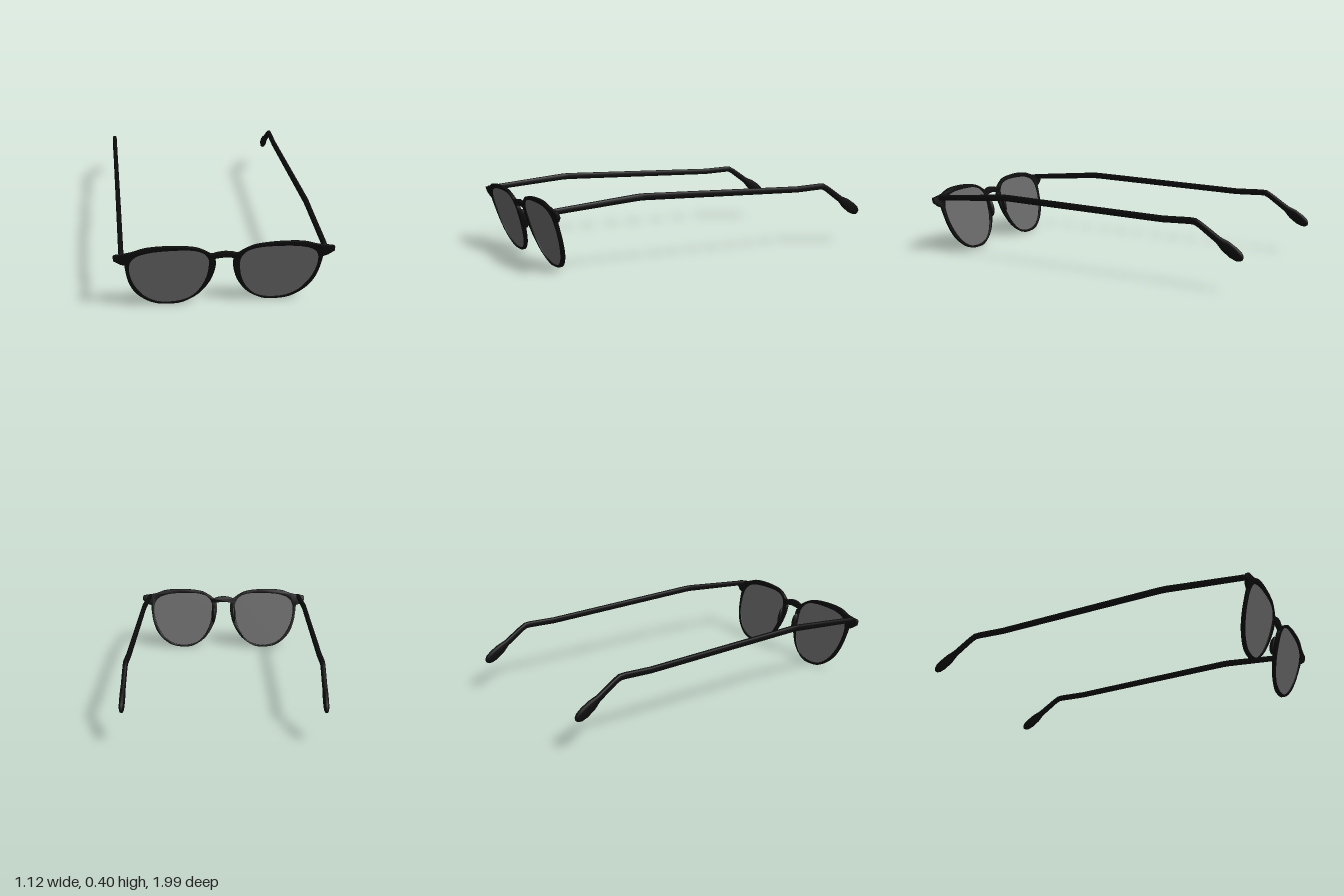
import * as THREE from 'three';
import { toCreasedNormals } from 'three/addons/utils/BufferGeometryUtils.js';

const black = new THREE.MeshStandardMaterial({ color: 0x0b0b0b });
const tint = new THREE.MeshStandardMaterial({ color: 0x666666 });

const vec = (list) => list.map(([x, y]) => new THREE.Vector2(x, y));
const mirror = (pts) => pts.map((p) => new THREE.Vector2(-p.x, p.y)).reverse();

// Half of the front outline, from bridge top round the lens to bridge underside
const topEdge = [[0, 0.337], [0.035, 0.333], [0.068, 0.325], [0.1, 0.346], [0.16, 0.373],
  [0.275, 0.385], [0.395, 0.38], [0.477, 0.355], [0.553, 0.344]];
const endPiece = [[0.561, 0.338], [0.561, 0.313], [0.528, 0.288]];
const lowEdge = [[0.505, 0.28], [0.501, 0.24], [0.487, 0.166], [0.456, 0.096], [0.404, 0.042],
  [0.345, 0.011], [0.275, 0.003], [0.207, 0.012], [0.125, 0.066], [0.07, 0.15], [0.047, 0.232],
  [0.046, 0.283], [0.054, 0.293], [0.035, 0.298], [0, 0.302]];

const lensOutline = [[0.483, 0.256], [0.474, 0.301], [0.447, 0.331], [0.387, 0.352], [0.275, 0.361],
  [0.161, 0.355], [0.11, 0.334], [0.083, 0.295], [0.08, 0.241], [0.092, 0.166], [0.122, 0.096],
  [0.17, 0.042], [0.221, 0.021], [0.275, 0.015], [0.342, 0.024], [0.402, 0.06], [0.447, 0.12], [0.474, 0.187]];

const spline = (list, n) => new THREE.SplineCurve(vec(list)).getPoints(n);

// Extrude a shape and lean it forward at the top
const TILT = 0.3;
const leanZ = (y) => 0.868 + TILT * y;
function leaningSlab(shape, depth, bevel) {
  const geo = new THREE.ExtrudeGeometry(shape, {
    depth: depth - 2 * bevel, bevelEnabled: bevel > 0, bevelThickness: bevel,
    bevelSize: bevel, bevelOffset: -bevel, bevelSegments: 2, curveSegments: 1,
  });
  geo.translate(0, 0, bevel - depth / 2);
  const p = geo.attributes.position;
  for (let i = 0; i < p.count; i++) p.setZ(i, p.getZ(i) + leanZ(p.getY(i)));
  geo.computeVertexNormals();
  return toCreasedNormals(geo, 0.6);
}

// Temple arm: oval sections along a side path of [z, y, half height, half width]
function templeGeometry() {
  const path = [[0.972, 0.337, 0.015, 0.012], [0.94, 0.34, 0.016, 0.013], [0.5, 0.378, 0.019, 0.013],
    [0.46, 0.379, 0.019, 0.013], [-0.538, 0.352, 0.018, 0.013], [-0.7, 0.358, 0.018, 0.013],
    [-0.728, 0.356, 0.018, 0.013], [-0.757, 0.341, 0.017, 0.013], [-0.86, 0.272, 0.019, 0.013],
    [-0.9, 0.244, 0.031, 0.014], [-0.945, 0.214, 0.033, 0.014], [-0.975, 0.196, 0.027, 0.013],
    [-0.99, 0.187, 0.016, 0.009], [-0.996, 0.183, 0.001, 0.001]];
  const sides = 16, pos = [], idx = [], last = path.length - 1;
  path.forEach(([z, y, h, w], i) => {
    const a = path[Math.max(i - 1, 0)], b = path[Math.min(i + 1, last)];
    const dir = new THREE.Vector2(b[0] - a[0], b[1] - a[1]).normalize();
    for (let j = 0; j < sides; j++) {
      const t = (j / sides) * Math.PI * 2;
      // slightly squared oval
      const c = Math.sign(Math.cos(t)) * Math.abs(Math.cos(t)) ** 0.75;
      const s = Math.sign(Math.sin(t)) * Math.abs(Math.sin(t)) ** 0.75;
      pos.push(c * w, y - dir.x * s * h, z + dir.y * s * h);
    }
  });
  for (let i = 0; i < last; i++) {
    for (let j = 0; j < sides; j++) {
      const a = i * sides + j, b = i * sides + ((j + 1) % sides);
      idx.push(a, a + sides, b, b, a + sides, b + sides);
    }
  }
  for (let j = 1; j < sides - 1; j++) idx.push(0, j, j + 1);
  const geo = new THREE.BufferGeometry();
  geo.setAttribute('position', new THREE.Float32BufferAttribute(pos, 3));
  geo.setIndex(idx);
  geo.computeVertexNormals();
  return geo;
}

export function createModel() {
  const group = new THREE.Group();
  const add = (name, geo, mat, parent = group) => {
    const mesh = new THREE.Mesh(geo, mat);
    mesh.name = name;
    parent.add(mesh);
    return mesh;
  };

  // Front frame with two lens openings
  const half = [...spline(topEdge, 40), ...vec(endPiece), ...spline(lowEdge, 70)];
  const frame = new THREE.Shape([...half, ...mirror(half.slice(1, -1))]);
  const lensPts = new THREE.CatmullRomCurve3(
    lensOutline.map(([x, y]) => new THREE.Vector3(x, y, 0)), true).getPoints(72).slice(0, -1)
    .map((p) => new THREE.Vector2(p.x, p.y));
  const openings = [lensPts, mirror(lensPts)];
  openings.forEach((pts) => frame.holes.push(new THREE.Path(pts)));
  add('frontFrame', leaningSlab(frame, 0.02, 0.002), black);

  const temple = templeGeometry();
  const pad = new THREE.SphereGeometry(1, 20, 14);
  [['left', 1, 0.511], ['right', -1, -0.52]].forEach(([side, s, templeX], i) => {
    // Lens
    add(side + 'Lens', leaningSlab(new THREE.Shape(openings[i]), 0.006, 0), tint);
    // Temple arm with ear tip
    add(side + 'Temple', temple, black).position.x = templeX;
    // Nose pad behind the inner rim
    const nose = add(side + 'NosePad', pad, black);
    nose.scale.set(0.013, 0.056, 0.022);
    nose.position.set(s * 0.07, 0.215, 0.915);
    nose.rotation.set(0.22, s * 0.35, 0);
  });
  return group;
}
